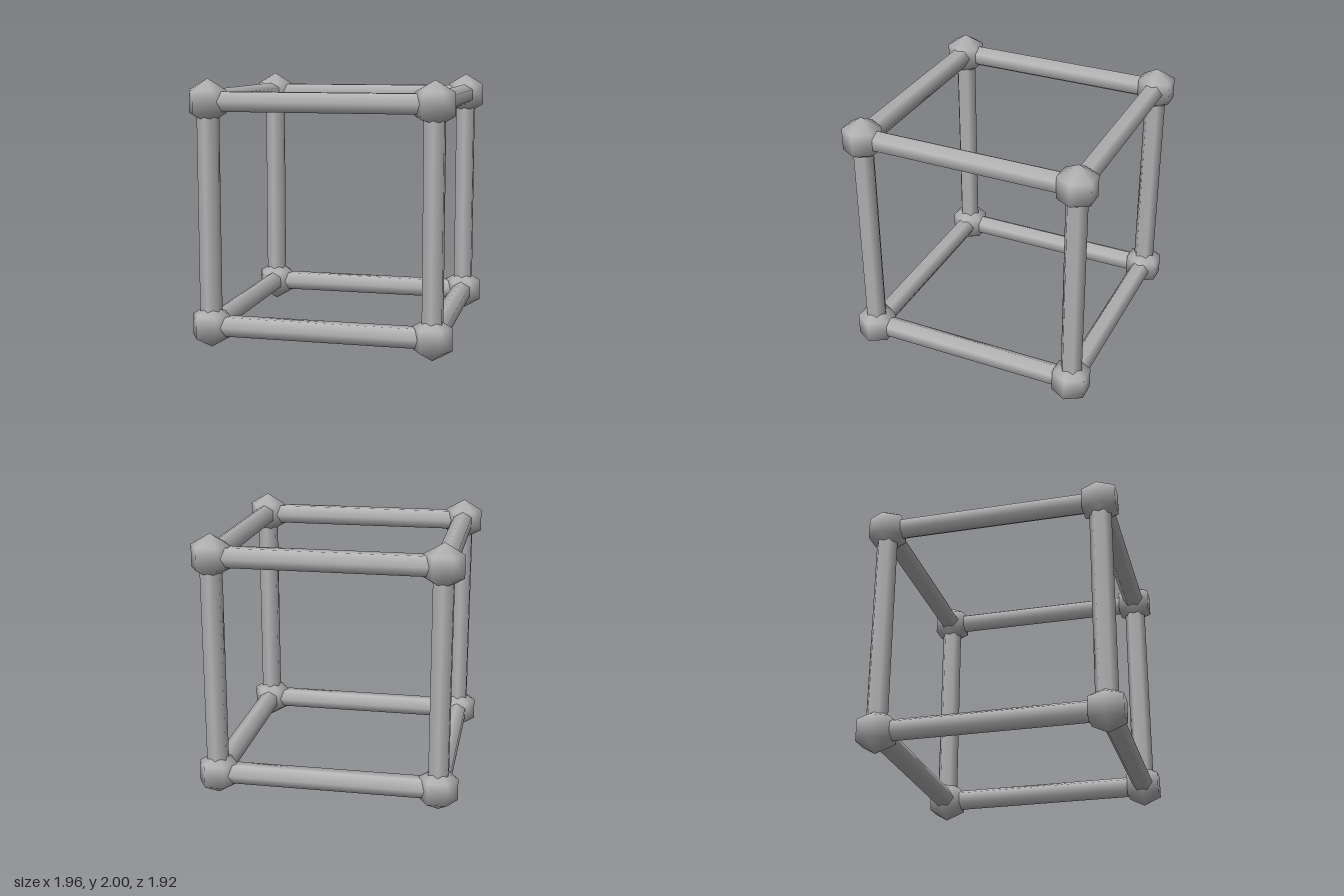
import * as THREE from 'three';

// Open cube frame: hexagonal beams joined by faceted, smooth-shaded corner nodes
export function createModel() {
  const model = new THREE.Group();
  model.name = 'cubeFrame';
  const grey = new THREE.MeshStandardMaterial({ color: 0xb4b4b4 });
  grey.name = 'grey';

  const nodeRadius = 1 / 6;
  const half = 1 - nodeRadius; // distance from frame centre to beam axes
  const nodeGeometry = new THREE.SphereGeometry(nodeRadius, 6, 3);
  const beamGeometry = new THREE.CylinderGeometry(nodeRadius / 2, nodeRadius / 2, half * 2, 6);

  const add = (geometry, name, x, y, z) => {
    const mesh = new THREE.Mesh(geometry, grey);
    mesh.name = name;
    mesh.position.set(x, y + 1, z);
    model.add(mesh);
    return mesh;
  };

  for (const a of [-half, half]) {
    for (const b of [-half, half]) {
      // Corner nodes
      for (const c of [-half, half]) add(nodeGeometry, 'cornerNode', a, b, c);

      // One beam along each axis
      add(beamGeometry, 'uprightBeam', a, 0, b);
      add(beamGeometry, 'crossBeam', 0, a, b).rotation.z = Math.PI / 2;
      add(beamGeometry, 'sideBeam', a, b, 0).rotation.x = Math.PI / 2;
    }
  }
  return model;
}
